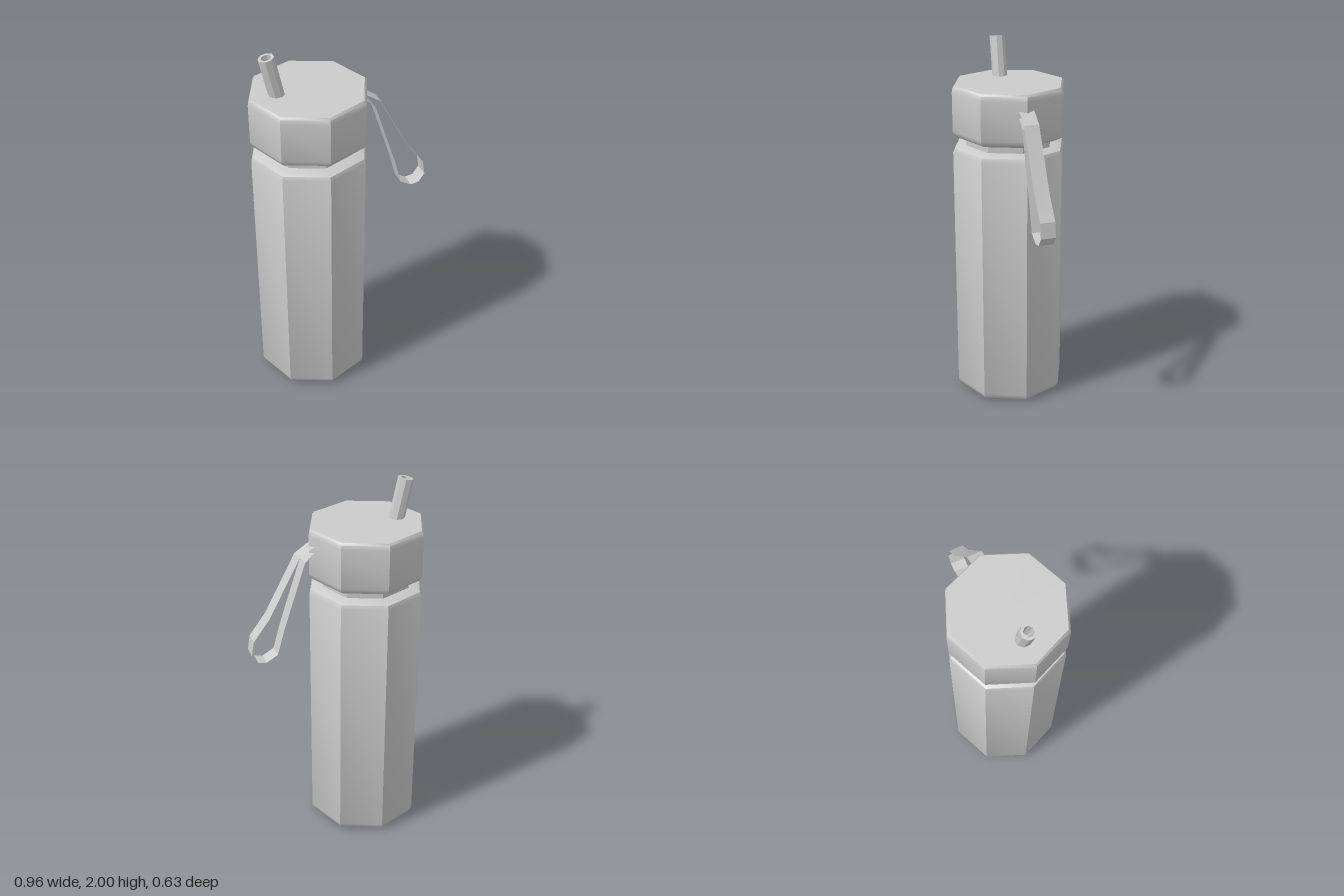
import * as THREE from 'three';
import { toCreasedNormals } from 'three/addons/utils/BufferGeometryUtils.js';

const AXIS_X = -0.167; // centre line of the bottle
const SIDES = 8;

function mesh(name, geometry, side = THREE.FrontSide) {
  const m = new THREE.Mesh(geometry, new THREE.MeshStandardMaterial({ color: 0xcccccc, side }));
  m.name = name;
  return m;
}

// Eight-sided turned part from [radius, height] pairs, bottom to top
function turned(name, profile, phase = 0) {
  const points = profile.map(([r, y]) => new THREE.Vector2(r, y));
  return mesh(name, toCreasedNormals(new THREE.LatheGeometry(points, SIDES, phase), 0.7));
}

// Thin band following a path in the x-y plane, with its width along z
function band(name, path, width) {
  const position = [], index = [];
  path.forEach(([x, y], i) => {
    position.push(x, y, width / 2, x, y, -width / 2);
    if (i > 0) {
      const a = 2 * (i - 1);
      index.push(a, a + 2, a + 1, a + 1, a + 2, a + 3);
    }
  });
  const g = new THREE.BufferGeometry();
  g.setAttribute('position', new THREE.Float32BufferAttribute(position, 3));
  g.setIndex(index);
  return mesh(name, toCreasedNormals(g, 0.2), THREE.DoubleSide);
}

export function createModel() {
  const model = new THREE.Group();
  model.name = 'drinkingBottle';

  // Bottle body, neck and lid share one octagonal axis
  const bottle = new THREE.Group();
  bottle.name = 'bottle';
  bottle.position.x = AXIS_X;
  bottle.add(
    turned('body', [[0, 0.002], [0.275, 0.002], [0.3, 0.016], [0.313, 0.045],
      [0.313, 1.425], [0.304, 1.446], [0.277, 1.458], [0, 1.458]]),
    turned('neck', [[0.24, 1.44], [0.24, 1.52]]),
    turned('lid', [[0, 1.5], [0.275, 1.5], [0.302, 1.514], [0.313, 1.54],
      [0.313, 1.75], [0.309, 1.774], [0.3, 1.785], [0, 1.785]])
  );
  model.add(bottle);

  // Hollow straw leaning towards -x
  const straw = turned('straw', [[0, 0], [0.041, 0], [0.041, 0.2985],
    [0.026, 0.2985], [0.026, 0.05], [0, 0.05]], Math.PI / SIDES);
  straw.position.set(-0.315, 1.7, 0);
  straw.rotation.z = THREE.MathUtils.degToRad(12);
  model.add(straw);

  // Hanging carry loop
  model.add(band('carryStrap', [[0.1, 1.718], [0.143, 1.695], [0.21, 1.65], [0.375, 1.34],
    [0.465, 1.22], [0.478, 1.14], [0.446, 1.093], [0.4, 1.085], [0.338, 1.12],
    [0.3, 1.257], [0.18, 1.622], [0.143, 1.66], [0.1, 1.685]], 0.08));

  return model;
}
